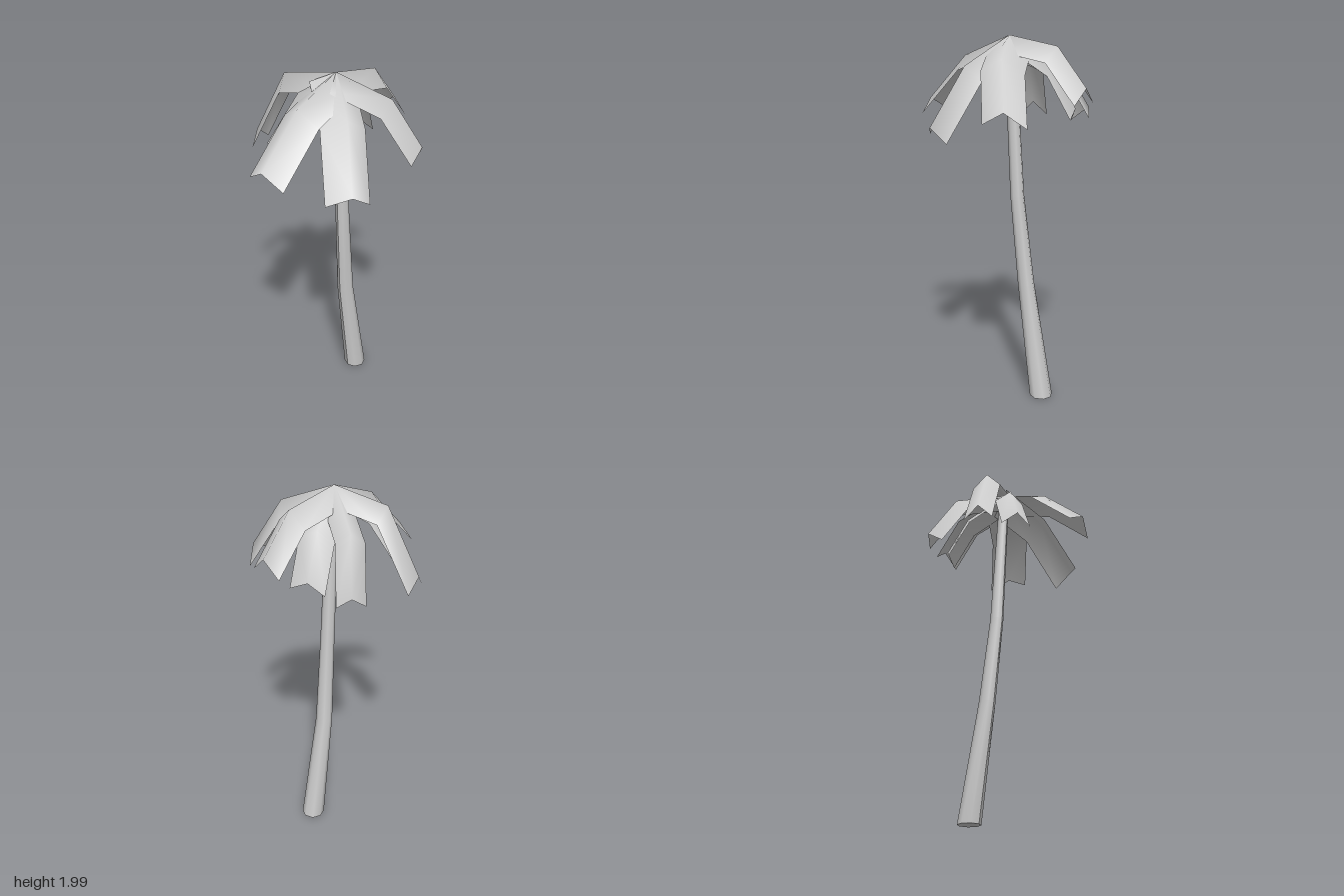
import * as THREE from 'three';

const v = (p) => new THREE.Vector3(...p);
const material = new THREE.MeshStandardMaterial({ color: 0xcccccc });
const leafMaterial = new THREE.MeshStandardMaterial({ color: 0xcccccc, side: THREE.DoubleSide });

// Trunk: eight-sided rings [x, y, z, radius] from the ground to the crown
function makeTrunk() {
  const rings = [
    [0.012, 0, -0.245, 0.064],
    [0.015, 0.65, -0.14, 0.046],
    [0.032, 1.15, -0.09, 0.038],
    [0.032, 1.96, -0.04, 0.03],
  ];
  const sides = 8;
  const geometry = new THREE.CylinderGeometry(1, 1, 1, sides, rings.length - 1);
  const pos = geometry.attributes.position;
  for (let i = 0; i < pos.count; i++) {
    const level = Math.round((pos.getY(i) + 0.5) * (rings.length - 1));
    const [x, y, z, r] = rings[level];
    pos.setXYZ(i, x + pos.getX(i) * r, y, z + pos.getZ(i) * r);
  }
  geometry.computeVertexNormals();
  const mesh = new THREE.Mesh(geometry, material);
  mesh.name = 'trunk';
  return mesh;
}

// Frond: a roof-shaped strip, bent once, running from the crown to a notched tip
const crown = v([0.028, 1.992, -0.035]);
function makeFrond({ bend, tip, edgeA, edgeB }) {
  const end = v(tip);
  const offsets = [v(edgeA).sub(end), new THREE.Vector3(), v(edgeB).sub(end)];
  const points = [], index = [];
  [crown, v(bend), end].forEach((ridge, row) => {
    offsets.forEach((o) => points.push(ridge.clone().add(o)));
    if (row === 0) return;
    for (let c = 0; c < 2; c++) {
      const a = (row - 1) * 3 + c;
      index.push(a, a + 3, a + 1, a + 1, a + 3, a + 4);
    }
  });
  const geometry = new THREE.BufferGeometry().setFromPoints(points);
  geometry.setIndex(index);
  geometry.computeVertexNormals();
  // Keep the front faces on the upper side
  if (geometry.attributes.normal.getY(4) < 0) {
    geometry.setIndex(index.reverse());
    geometry.computeVertexNormals();
  }
  return new THREE.Mesh(geometry, leafMaterial);
}

const fronds = [
  { name: 'backFrond', bend: [0.025, 1.94, -0.325], tip: [0.025, 1.74, -0.495],
    edgeA: [-0.07, 1.66, -0.483], edgeB: [0.12, 1.66, -0.483] },
  { name: 'frontFrond', bend: [0.045, 1.885, 0.245], tip: [0.055, 1.645, 0.492],
    edgeA: [-0.058, 1.58, 0.47], edgeB: [0.165, 1.57, 0.457] },
  { name: 'leftBackFrond', bend: [0.28, 1.885, -0.165], tip: [0.405, 1.64, -0.265],
    edgeA: [0.33, 1.56, -0.352], edgeB: [0.428, 1.58, -0.155] },
  { name: 'leftFrontFrond', bend: [0.234, 1.84, 0.1], tip: [0.382, 1.53, 0.217],
    edgeA: [0.39, 1.455, 0.1], edgeB: [0.283, 1.48, 0.303] },
  { name: 'rightFrond', bend: [-0.257, 1.94, 0.045], tip: [-0.417, 1.605, 0.108],
    edgeA: [-0.43, 1.535, 0.02], edgeB: [-0.383, 1.525, 0.178] },
  { name: 'rightBackFrond', bend: [-0.245, 1.86, -0.19], tip: [-0.362, 1.605, -0.296],
    edgeA: [-0.297, 1.55, -0.335], edgeB: [-0.357, 1.53, -0.194] },
  { name: 'lowerBackFrond', bend: [-0.07, 1.84, -0.24], tip: [-0.12, 1.62, -0.352],
    edgeA: [-0.177, 1.55, -0.294], edgeB: [-0.02, 1.57, -0.38] },
  { name: 'lowerFrontFrond', bend: [-0.1, 1.89, 0.1], tip: [-0.205, 1.63, 0.222],
    edgeA: [-0.255, 1.565, 0.15], edgeB: [-0.132, 1.565, 0.257] },
];

export function createModel() {
  const model = new THREE.Group();
  model.name = 'palmTree';
  model.add(makeTrunk());
  const leaves = new THREE.Group();
  leaves.name = 'fronds';
  for (const spec of fronds) {
    const frond = makeFrond(spec);
    frond.name = spec.name;
    leaves.add(frond);
  }
  model.add(leaves);
  return model;
}
